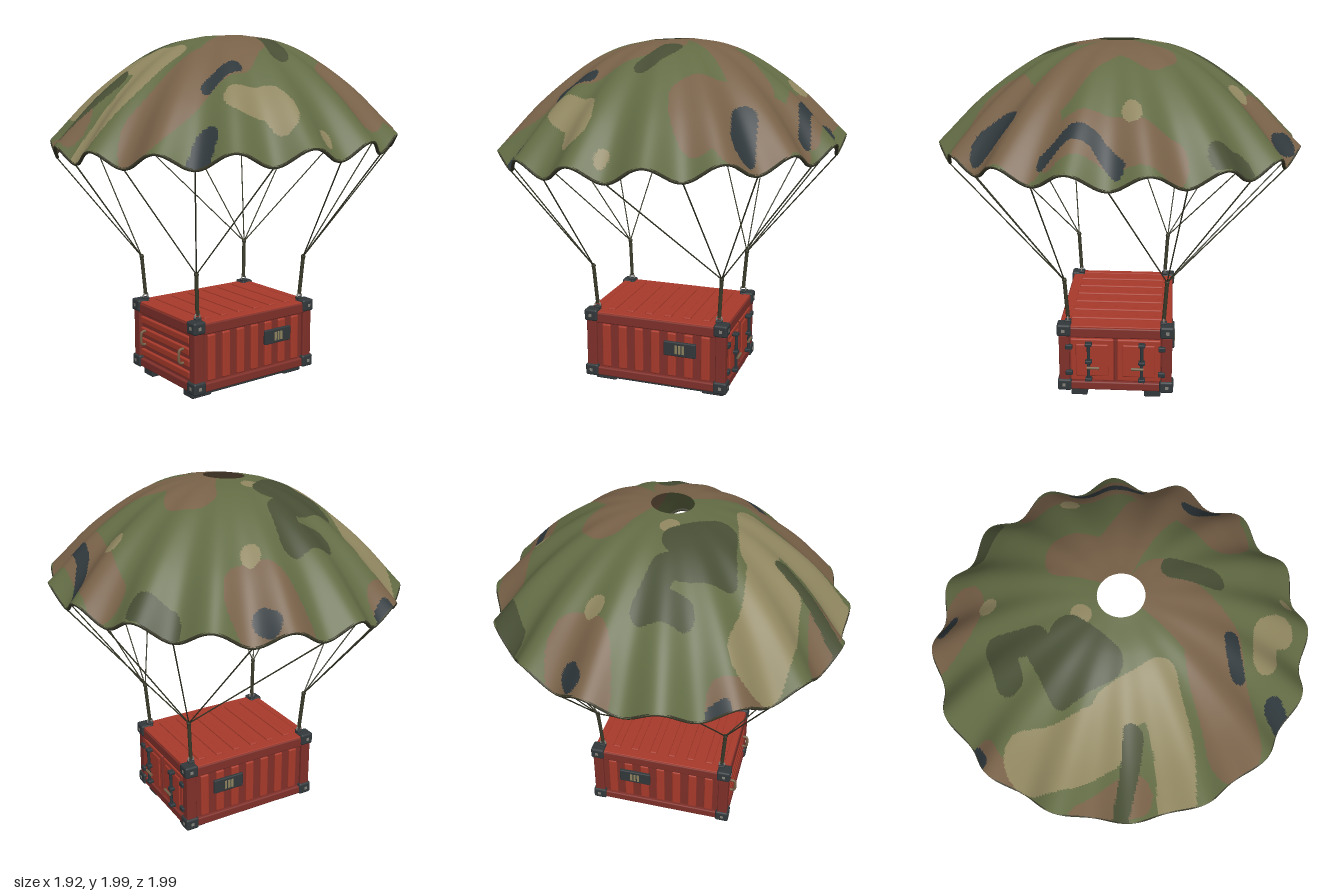
import * as THREE from 'three';
import { RoundedBoxGeometry } from 'three/addons/geometries/RoundedBoxGeometry.js';

const mat = (name, color, side = THREE.FrontSide) => {
  const m = new THREE.MeshStandardMaterial({ color, side });
  m.name = name;
  return m;
};
const D = THREE.DoubleSide;
const M = {
  green: mat('olive green', 0x626b44, D),
  brown: mat('earth brown', 0x786148, D),
  tan: mat('sand', 0x8f855f, D),
  dark: mat('dark green', 0x474e34, D),
  slate: mat('slate', 0x2e373b, D),
  red: mat('container red', 0xa83a2b),
  darkRed: mat('frame red', 0x80302a),
  charcoal: mat('charcoal', 0x32383b),
  cord: mat('cord olive', 0x3a3a2a),
  steel: mat('light steel', 0x85827a),
};

// ---------- helpers ----------
const V = (x, y, z) => new THREE.Vector3(x, y, z);
function add(parent, name, geo, material, x = 0, y = 0, z = 0) {
  const m = new THREE.Mesh(geo, material);
  m.name = name;
  m.position.set(x, y, z);
  parent.add(m);
  return m;
}
const box = (p, name, m, w, h, d, x, y, z) => add(p, name, new THREE.BoxGeometry(w, h, d), m, x, y, z);
const rbox = (p, name, m, w, h, d, x, y, z, r = 0.008) =>
  add(p, name, new RoundedBoxGeometry(w, h, d, 2, r), m, x, y, z);
function rod(p, name, m, a, b, r, sides = 6) {
  const dir = b.clone().sub(a);
  const c = a.clone().add(b).multiplyScalar(0.5);
  const mesh = add(p, name, new THREE.CylinderGeometry(r, r, dir.length(), sides), m, c.x, c.y, c.z);
  mesh.quaternion.setFromUnitVectors(V(0, 1, 0), dir.normalize());
}

// ---------- canopy shape: profile swept round with 16 gores ----------
const GORES = 16;
const profile = new THREE.CatmullRomCurve3([
  V(0.115, 1.985, 0), V(0.3, 1.95, 0), V(0.47, 1.875, 0), V(0.74, 1.67, 0), V(0.99, 1.395, 0)]);
function canopyPoint(u, a, base = profile.getPointAt(u)) {
  const g = Math.cos(GORES * a) * u * u;
  const r = base.x - 0.018 * g;
  const x = 0.967 * r * Math.sin(a);
  return V(x, base.y - 0.04 * g + 0.04 * x, r * Math.cos(a));
}

// ---------- camouflage brush strokes in plan: radius, then x, z of each point ----------
const strokes = {
  slate: [[0.043, 0.27, -0.9, 0.295, -0.86], [0.04, -0.46, -0.85, -0.41, -0.87], [0.038, -0.43, 0.49, -0.27, 0.48],
    [0.058, -0.69, 0.7, -0.59, 0.66], [0.062, 0.57, 0.54, 0.58, 0.66], [0.032, 0.89, -0.05, 0.81, 0.08, 0.78, 0.2, 0.8, 0.32]],
  dark: [[0.07, -0.2, -0.62, -0.04, -0.63, -0.06, -0.46, -0.34, -0.36], [0.095, -0.31, -0.3, -0.29, -0.16, -0.12, -0.3],
    [0.058, 0.08, 0.29, 0.03, 0.47], [0.055, 0.65, -0.64, 0.77, -0.51], [0.045, -0.93, -0.23, -0.61, -0.1]],
  tan: [[0.14, -0.58, -0.6, -0.59, -0.24], [0.1, -0.5, -0.15, -0.41, 0.08, -0.95, 0.06],
    [0.075, -0.37, 0.66, -0.25, 0.69, -0.23, 0.79], [0.05, 0.21, -0.63], [0.05, 0.69, -0.09], [0.05, -0.05, -0.21],
    [0.035, -0.04, 0.9]],
  brown: [[0.13, 0.29, -0.18, 0.2, 0, 0.5, 0.28], [0.17, 0.37, 0.64, 0.69, 0.42, 0.58, 0.66],
    [0.15, 0, 0.2, -0.27, 0.38, -0.74, 0.38], [0.17, 0.24, -0.95, 0.26, -0.82], [0.09, 0.78, 0.25, 0.82, -0.28],
    [0.08, -0.62, -0.78, -0.45, -0.83], [0.09, -0.88, -0.42, -0.86, -0.15]],
};
function covers([r, ...p], x, z) {
  for (let i = 0; i < p.length; i += 2) {
    const k = Math.min(i + 2, p.length - 2);
    const dx = p[k] - p[i], dz = p[k + 1] - p[i + 1], px = x - p[i], pz = z - p[i + 1];
    const t = THREE.MathUtils.clamp((px * dx + pz * dz) / (dx * dx + dz * dz || 1), 0, 1);
    if (Math.hypot(px - t * dx, pz - t * dz) < r) return true;
  }
  return false;
}
function camo(x, z) {
  // gentle waviness keeps the outlines organic
  const wx = x + 0.012 * Math.sin(13 * z + 1), wz = z + 0.012 * Math.sin(11 * x);
  return Object.keys(strokes).find((k) => strokes[k].some((s) => covers(s, wx, wz))) ?? 'green';
}

function buildCanopy(root) {
  const NA = 400, NR = 125, pos = [], tone = { green: [], brown: [], tan: [], dark: [], slate: [] };
  for (let i = 0; i <= NR; i++) {
    const base = profile.getPointAt(i / NR);
    for (let j = 0; j < NA; j++) pos.push(...canopyPoint(i / NR, (j / NA) * Math.PI * 2, base).toArray());
  }
  const tri = (...t) => {
    const mid = (k) => t.reduce((s, v) => s + pos[v * 3 + k], 0) / 3;
    tone[camo(mid(0), mid(2))].push(...t);
  };
  for (let i = 0; i < NR; i++) for (let j = 0; j < NA; j++) {
    const k = (j + 1) % NA, a = i * NA + j, b = a + NA, d = i * NA + k, c = d + NA;
    tri(a, b, c);
    tri(a, c, d);
  }
  const geo = new THREE.BufferGeometry();
  geo.setAttribute('position', new THREE.Float32BufferAttribute(pos, 3));
  let index = [];
  Object.values(tone).forEach((list, n) => {
    geo.addGroup(index.length, list.length, n);
    index = index.concat(list);
  });
  geo.setIndex(index);
  geo.computeVertexNormals();
  add(root, 'canopy', geo, Object.keys(tone).map((k) => M[k]));

  // hem tucked just under the rim
  const rim = Array.from({ length: 128 }, (_, j) =>
    canopyPoint(1, (j / 128) * Math.PI * 2).multiply(V(0.992, 1, 0.992)).add(V(0, -0.004, 0)));
  add(root, 'rimHem', new THREE.TubeGeometry(new THREE.CatmullRomCurve3(rim, true), 320, 0.009, 6, true), M.cord);
}

// ---------- four risers; each canopy cord runs to the riser of its quarter ----------
function buildRigging(root) {
  const rig = new THREE.Group();
  rig.name = 'rigging';
  root.add(rig);
  const riserTop = (sx, sz) => V(0.383 * sx, 0.71, 0.284 * sz);
  for (const sx of [1, -1]) for (const sz of [1, -1]) {
    const low = V(0.368 * sx, 0.48, 0.27 * sz), top = riserTop(sx, sz);
    rod(rig, 'riser', M.cord, low, top, 0.011, 8);
    add(rig, 'riserKnot', new THREE.SphereGeometry(0.014, 8, 6), M.cord, ...top.toArray());
    add(rig, 'shackle', new THREE.TorusGeometry(0.016, 0.005, 6, 14), M.steel, low.x, 0.472, low.z);
  }
  for (let k = 0; k < GORES; k++) {
    const end = canopyPoint(1, (k / GORES) * Math.PI * 2);
    rod(rig, 'cord', M.cord, riserTop(end.x > -0.01 ? 1 : -1, end.z > 0.01 ? 1 : -1), end, 0.0038, 5);
  }
}

function buildContainer(root) {
  const c = new THREE.Group();
  c.name = 'container';
  root.add(c);
  box(c, 'body', M.darkRed, 0.8, 0.37, 0.6, 0, 0.245, 0);
  rbox(c, 'roof', M.red, 0.76, 0.03, 0.58, 0, 0.428, 0);
  for (let i = 0; i < 6; i++) rbox(c, 'roofRib', M.red, 0.045, 0.02, 0.52, (i - 2.5) * 0.115, 0.442, 0);

  for (const s of [1, -1]) {
    // frame rails
    rbox(c, 'topSideRail', M.darkRed, 0.78, 0.06, 0.05, 0, 0.407, 0.295 * s);
    rbox(c, 'topSideLip', M.red, 0.74, 0.012, 0.04, 0, 0.437, 0.295 * s, 0.004);
    rbox(c, 'bottomSideRail', M.darkRed, 0.78, 0.05, 0.05, 0, 0.075, 0.295 * s);
    rbox(c, 'topEndRail', M.darkRed, 0.05, 0.06, 0.58, 0.395 * s, 0.407, 0);
    rbox(c, 'topEndLip', M.red, 0.04, 0.012, 0.56, 0.395 * s, 0.44, 0, 0.004);
    rbox(c, 'bottomEndRail', M.darkRed, 0.05, 0.05, 0.58, 0.395 * s, 0.075, 0);
    // corrugated side and its label plate
    for (let i = 0; i < 7; i++) rbox(c, 'sideRib', M.red, 0.052, 0.262, 0.024, (i - 3) * 0.1, 0.238, 0.302 * s);
    rbox(c, 'labelPlate', M.charcoal, 0.19, 0.085, 0.02, 0.155, 0.282, 0.323 * s, 0.006);
    for (let i = -1; i <= 1; i++) box(c, 'labelBar', M.tan, 0.013, 0.05, 0.006, 0.155 + i * 0.021, 0.282, 0.334 * s);
    // skids
    rbox(c, 'skid', M.charcoal, 0.78, 0.045, 0.075, 0, 0.0265, 0.21 * s);
    for (const x of [1, -1]) {
      rbox(c, 'skidEnd', M.charcoal, 0.13, 0.05, 0.095, 0.33 * x, 0.025, 0.21 * s);
      // posts and corner castings
      rbox(c, 'post', M.darkRed, 0.06, 0.3, 0.06, 0.39 * x, 0.24, 0.29 * s);
      for (const y of [0.08, 0.42]) {
        rbox(c, 'cornerCasting', M.charcoal, 0.08, 0.07, 0.08, 0.39 * x, y, 0.29 * s, 0.012);
        box(c, 'castingPlateSide', M.steel, 0.018, 0.018, 0.004, 0.393 * x, y, 0.33 * s);
        box(c, 'castingPlateEnd', M.steel, 0.004, 0.018, 0.018, 0.43 * x, y, 0.293 * s);
      }
      rbox(c, 'liftLug', M.charcoal, 0.035, 0.016, 0.035, 0.368 * x, 0.458, 0.27 * s, 0.005);
    }

    // double doors on the +x end
    rbox(c, 'door', M.red, 0.03, 0.26, 0.245, 0.402, 0.238, 0.132 * s);
    rbox(c, 'doorPanel', M.red, 0.02, 0.2, 0.185, 0.413, 0.238, 0.132 * s);
    rod(c, 'lockBar', M.slate, V(0.438, 0.12, 0.15 * s), V(0.438, 0.355, 0.15 * s), 0.009, 10);
    for (const y of [0.128, 0.238, 0.345]) rbox(c, 'lockBracket', M.slate, 0.035, 0.02, 0.038, 0.434, y, 0.15 * s, 0.005);
    rod(c, 'doorHandle', M.brown, V(0.45, 0.205, 0.16 * s), V(0.45, 0.205, 0.09 * s), 0.008, 8);
    for (const y of [0.16, 0.32]) rbox(c, 'hinge', M.slate, 0.03, 0.028, 0.04, 0.418, y, 0.262 * s, 0.005);

    // grab handles on the -x end
    const grip = new THREE.CatmullRomCurve3([V(-0.405, 0.2, 0), V(-0.438, 0.203, 0), V(-0.445, 0.24, 0),
      V(-0.438, 0.277, 0), V(-0.405, 0.28, 0)]);
    add(c, 'grabHandle', new THREE.TubeGeometry(grip, 20, 0.008, 8), M.brown, 0, 0, 0.2 * s);
  }
  rod(c, 'doorSeam', M.darkRed, V(0.416, 0.11, 0), V(0.416, 0.365, 0), 0.008, 8);
  for (let i = 0; i < 4; i++) rbox(c, 'endSlat', M.red, 0.025, 0.042, 0.51, -0.403, 0.14 + i * 0.066, 0);
}

export function createModel() {
  const root = new THREE.Group();
  root.name = 'supplyDrop';
  buildCanopy(root);
  buildRigging(root);
  buildContainer(root);
  return root;
}
